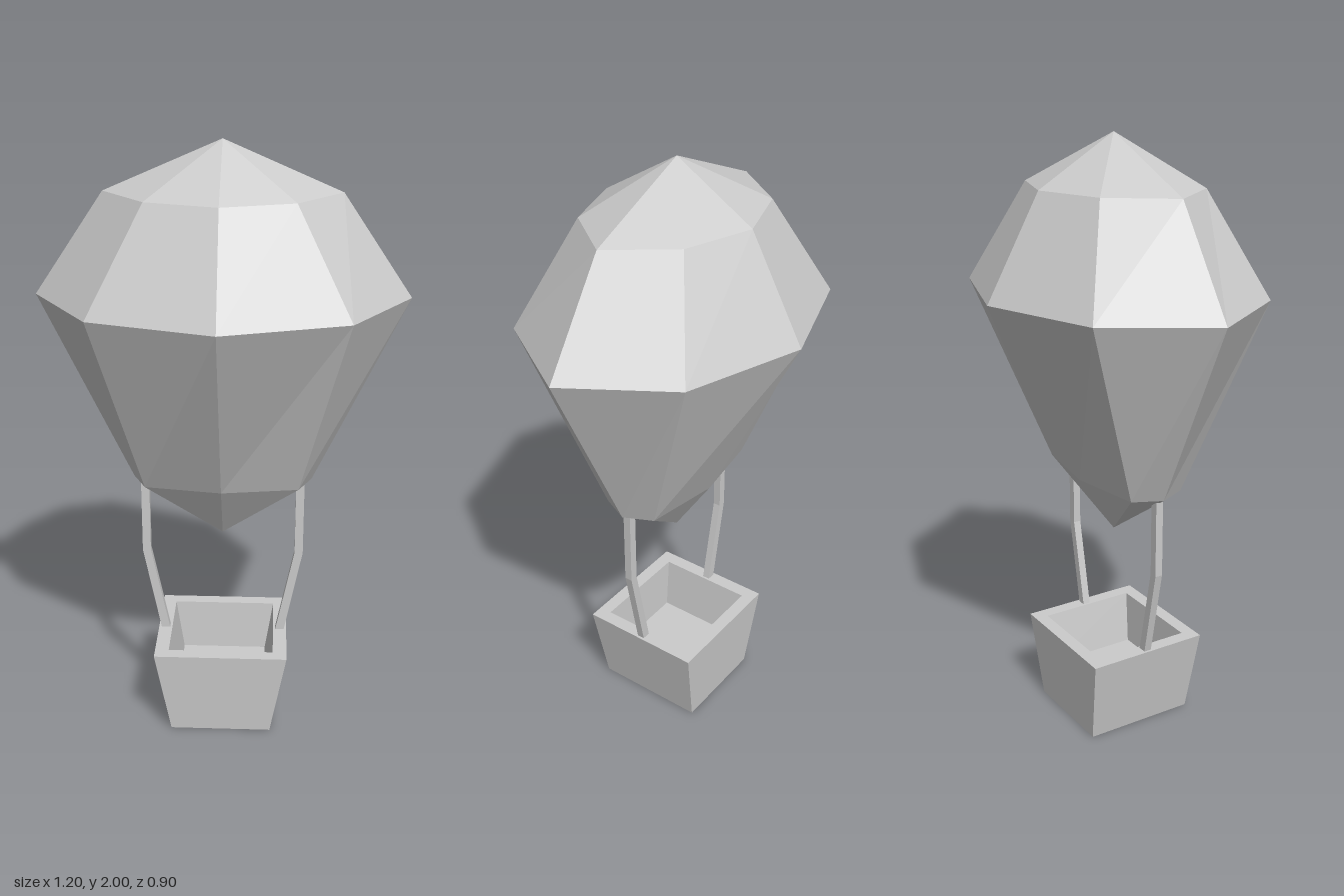
import * as THREE from 'three';

const material = new THREE.MeshStandardMaterial({ color: 0xcccccc, flatShading: true });

// Skins a stack of equal-length rings; each ring runs anticlockwise seen from above.
function loft(name, rings) {
  const n = rings[0].length;
  const positions = rings.flat(2);
  const index = [];
  for (let r = 0; r < rings.length - 1; r++) {
    for (let i = 0; i < n; i++) {
      const j = (i + 1) % n;
      const a = r * n + i, b = r * n + j, c = a + n, d = b + n;
      index.push(a, b, d, a, d, c);
    }
  }
  const indexed = new THREE.BufferGeometry();
  indexed.setAttribute('position', new THREE.Float32BufferAttribute(positions, 3));
  indexed.setIndex(index);
  const geometry = indexed.toNonIndexed();
  geometry.computeVertexNormals();
  const mesh = new THREE.Mesh(geometry, material);
  mesh.name = name;
  return mesh;
}

// Eight-sided ring: rx, rz on the axes and dx, dz at the corners between them.
const octagon = (y, rx, rz, dx, dz) => [
  [rx, y, 0], [dx, y, -dz], [0, y, -rz], [-dx, y, -dz],
  [-rx, y, 0], [-dx, y, dz], [0, y, rz], [dx, y, dz],
];

// Rectangular ring with half sizes hx, hz, centred on x = cx.
const rectangle = (y, hx, hz, cx = 0) => [
  [cx + hx, y, hz], [cx + hx, y, -hz], [cx - hx, y, -hz], [cx - hx, y, hz],
];

export function createModel() {
  const model = new THREE.Group();
  model.name = 'hotAirBalloon';

  // Faceted envelope, pointed at both ends
  model.add(loft('envelope', [
    octagon(0.675, 0, 0, 0, 0),
    octagon(0.88, 0.3, 0.135, 0.255, 0.095),
    octagon(1.51, 0.6, 0.45, 0.398, 0.319),
    octagon(1.84, 0.374, 0.267, 0.228, 0.19),
    octagon(2, 0, 0, 0, 0),
  ]));

  // Tapered basket: underside, outer walls, rim, inner walls, floor
  model.add(loft('basket', [
    rectangle(0, 0, 0),
    rectangle(0, 0.172, 0.193),
    rectangle(0.3, 0.226, 0.213),
    rectangle(0.3, 0.179, 0.168),
    rectangle(0.12, 0.15, 0.157),
    rectangle(0.12, 0, 0),
  ]));

  // Bent struts joining the basket rim to the envelope
  for (const [side, name] of [[1, 'leftStrut'], [-1, 'rightStrut']]) {
    model.add(loft(name, [
      rectangle(0.29, 0, 0, side * 0.2),
      rectangle(0.29, 0.015, 0.013, side * 0.2),
      rectangle(0.605, 0.014, 0.013, side * 0.263),
      rectangle(0.87, 0.014, 0.013, side * 0.263),
      rectangle(0.87, 0, 0, side * 0.263),
    ]));
  }

  return model;
}
